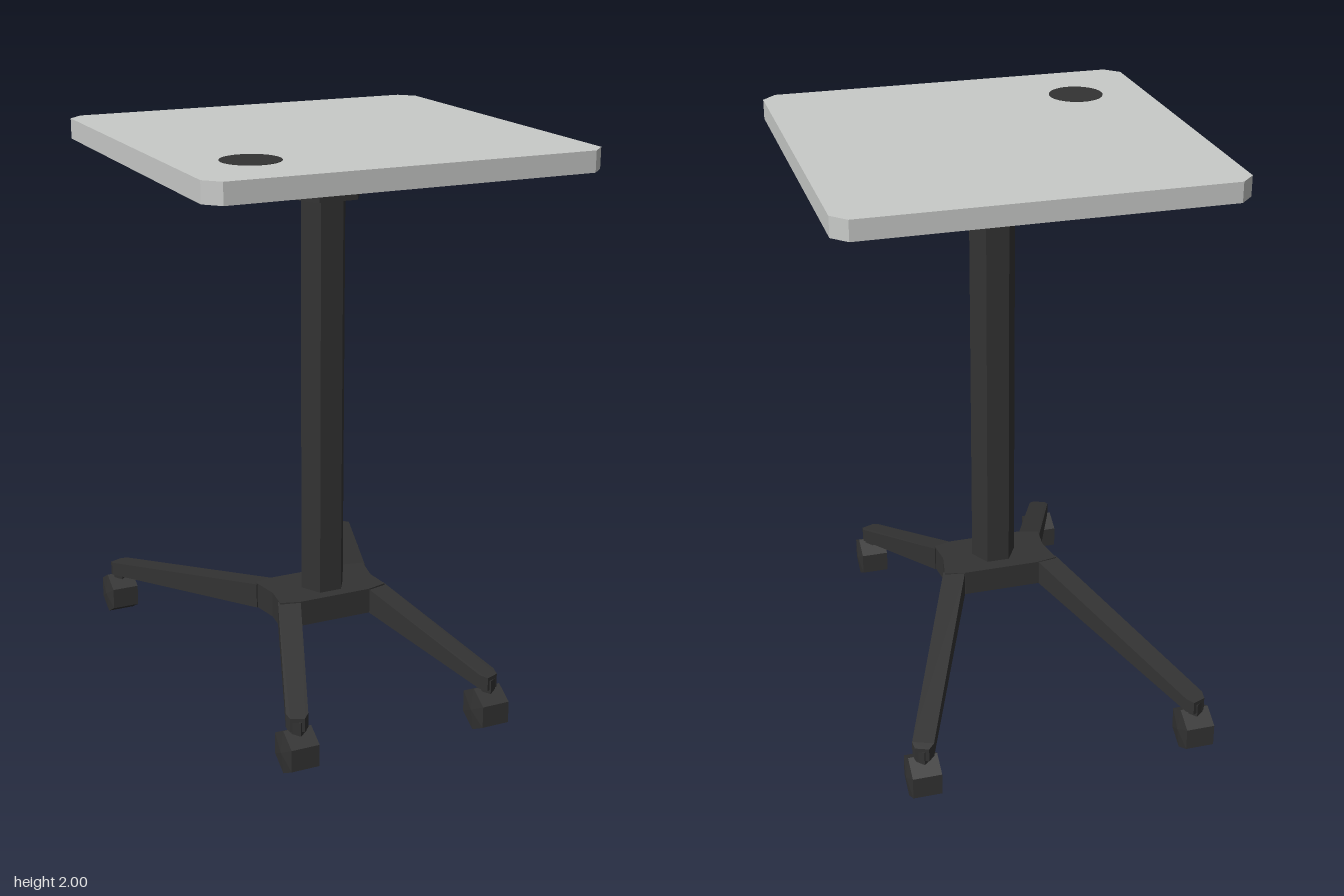
import * as THREE from 'three';
import { ConvexGeometry } from 'three/addons/geometries/ConvexGeometry.js';

const CENTRE_Z = 0.128; // the column stands forward of the middle

export function createModel() {
  const desk = new THREE.Group();
  desk.name = 'rollingDesk';

  const grey = new THREE.MeshStandardMaterial({ color: 0xc9cbc9, flatShading: true });
  grey.name = 'light grey laminate';
  const black = new THREE.MeshStandardMaterial({ color: 0x333333, flatShading: true });
  black.name = 'charcoal metal';

  const add = (name, geometry, material, x = 0, y = 0, z = 0) => {
    const mesh = new THREE.Mesh(geometry, material);
    mesh.name = name;
    mesh.position.set(x, y, z);
    desk.add(mesh);
    return mesh;
  };

  // Flat slab from an outline of [x, z] points, standing from y0 to y1
  const slab = (outline, y0, y1, hole) => {
    const toPoints = (list) => list.map(([x, z]) => new THREE.Vector2(x, -z));
    const shape = new THREE.Shape(toPoints(outline));
    if (hole) shape.holes.push(new THREE.Path(toPoints(hole)));
    const geometry = new THREE.ExtrudeGeometry(shape, { depth: y1 - y0, bevelEnabled: false });
    return geometry.rotateX(-Math.PI / 2).translate(0, y0, 0);
  };

  // Table top with clipped corners
  const w = 0.675, back = -0.55, front = 0.8, c = 0.05;
  add('tableTop', slab([
    [-w + c, front], [w - c, front], [w, front - c], [w, back + c],
    [w - c, back], [-w + c, back], [-w, back + c], [-w, front - c],
  ], 1.93, 2), grey);

  // Round cable grommet through the top
  add('grommet', new THREE.CylinderGeometry(0.097, 0.097, 0.073, 32), black, -0.42, 1.965, 0.51);

  // Hexagonal column and the collar under the top
  const hexagon = (r, y0, y1) =>
    new THREE.CylinderGeometry(r, r, y1 - y0, 6, 1, false, Math.PI / 2).translate(0, (y0 + y1) / 2, 0);
  add('column', hexagon(0.082, 0.34, 1.8), black, 0, 0, CENTRE_Z);
  add('collar', hexagon(0.14, 1.79, 1.93), black, 0, 0, CENTRE_Z);

  // Hub: a closed plate over a hollow rim
  const half = [[0.135, 0.24], [0.205, 0.22], [0.195, CENTRE_Z], [0.215, 0.02], [0.14, 0.005]];
  const outline = [...half, ...half.map(([x, z]) => [-x, z]).reverse()];
  const hollow = outline.map(([x, z]) => [x * 0.8, CENTRE_Z + (z - CENTRE_Z) * 0.75]);
  add('hubPlate', slab(outline, 0.34, 0.373), black);
  add('hubRim', slab(outline, 0.28, 0.34, hollow), black);

  // Tapered leg with a clipped tip, from [x, z] to [x, z]
  const legGeometry = (from, to) => {
    const a = new THREE.Vector2(...from), b = new THREE.Vector2(...to);
    const along = b.clone().sub(a).normalize();
    const across = new THREE.Vector2(-along.y, along.x);
    const points = [];
    const section = (centre, halfWidth, bottom, top) => {
      for (const side of [-1, 1]) for (const y of [bottom, top]) {
        const p = centre.clone().addScaledVector(across, side * halfWidth);
        points.push(new THREE.Vector3(p.x, y, p.y));
      }
    };
    section(a, 0.04, 0.28, 0.371);
    section(b.clone().addScaledVector(along, -0.025), 0.037, 0.16, 0.211);
    section(b, 0.024, 0.155, 0.204);
    return new ConvexGeometry(points);
  };

  // Six-sided wheel with slightly domed ends, axle along x
  const wheel = new THREE.LatheGeometry(
    [[0, -0.059], [0.078, -0.05], [0.078, 0.05], [0, 0.059]].map(([r, y]) => new THREE.Vector2(r, y)),
    6, Math.PI / 2).rotateZ(Math.PI / 2);
  const stem = new THREE.CylinderGeometry(0.03, 0.03, 0.07, 6);

  // Four legs, each with a caster
  for (const side of [-1, 1]) {
    const label = side > 0 ? 'Left' : 'Right';
    for (const [end, hub, tip, caster] of [
      ['front', [0.17, 0.22], [0.365, 0.725], [0.356, 0.703]],
      ['back', [0.18, 0.02], [0.492, -0.757], [0.485, -0.733]],
    ]) {
      add(`${end}${label}Leg`, legGeometry([side * hub[0], hub[1]], [side * tip[0], tip[1]]), black);
      add(`${end}${label}Stem`, stem, black, side * caster[0], 0.155, caster[1]);
      add(`${end}${label}Wheel`, wheel, black, side * caster[0], 0.08, caster[1]);
    }
  }
  return desk;
}
